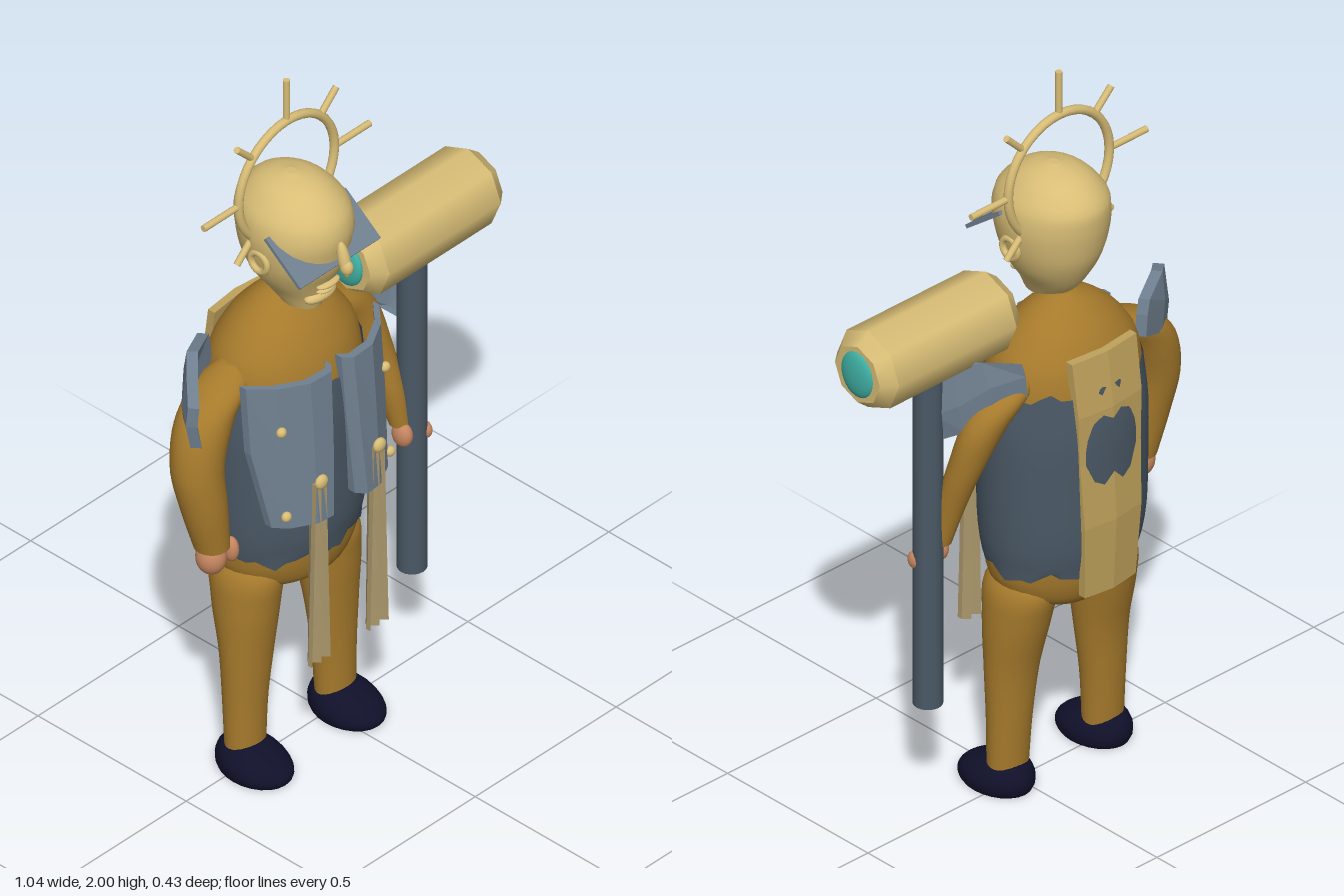
import * as THREE from 'three';

const C = -0.125; // centre line of the figure
const mirrorX = (x) => 2 * C - x;

function mat(name, color, side = THREE.FrontSide) {
  const m = new THREE.MeshStandardMaterial({ color, side });
  m.name = name;
  return m;
}

// Smooth body of elliptical rings, bottom to top: [y, x, z, rx, rz]
function loft(rows, { seg = 28, steps = 24, caps = true } = {}) {
  const centre = new THREE.CatmullRomCurve3(rows.map((r) => new THREE.Vector3(r[1], r[0], r[2])));
  const radii = new THREE.CatmullRomCurve3(rows.map((r) => new THREE.Vector3(r[3], r[4], r[0])));
  const pos = [], idx = [];
  const ring = (t) => {
    const p = centre.getPoint(t), q = radii.getPoint(t);
    for (let j = 0; j < seg; j++) {
      const a = (j / seg) * Math.PI * 2;
      pos.push(p.x + q.x * Math.cos(a), p.y, p.z + q.y * Math.sin(a));
    }
    return p;
  };
  for (let i = 0; i <= steps; i++) ring(i / steps);
  for (let i = 0; i < steps; i++) for (let j = 0; j < seg; j++) {
    const a = i * seg + j, b = i * seg + ((j + 1) % seg);
    idx.push(a, a + seg, b, b, a + seg, b + seg);
  }
  if (caps) for (const t of [0, 1]) {
    const start = pos.length / 3, p = ring(t), c = start + seg;
    pos.push(p.x, p.y, p.z);
    for (let j = 0; j < seg; j++) {
      const a = start + j, b = start + ((j + 1) % seg);
      if (t) idx.push(c, b, a); else idx.push(c, a, b);
    }
  }
  const g = new THREE.BufferGeometry();
  g.setAttribute('position', new THREE.Float32BufferAttribute(pos, 3));
  g.setIndex(idx);
  g.computeVertexNormals();
  return g;
}

// Bent faceted plate: grid[row][column] of outer points, thickened by the offset
function plate(grid, off) {
  const F = grid.map((r) => r.map((p) => new THREE.Vector3(...p)));
  const o = new THREE.Vector3(...off);
  const B = F.map((r) => r.map((p) => p.clone().add(o)));
  const n = F[1][0].clone().sub(F[0][0]).cross(F[0][1].clone().sub(F[0][0]));
  const flip = n.dot(o) > 0;
  const pos = [];
  const quad = (...q) => {
    if (flip) q.reverse();
    for (const k of [0, 1, 2, 0, 2, 3]) pos.push(q[k].x, q[k].y, q[k].z);
  };
  const R = F.length - 1, K = F[0].length - 1;
  for (let r = 0; r < R; r++) for (let c = 0; c < K; c++) {
    quad(F[r][c], F[r + 1][c], F[r + 1][c + 1], F[r][c + 1]);
    quad(B[r][c], B[r][c + 1], B[r + 1][c + 1], B[r + 1][c]);
  }
  for (let c = 0; c < K; c++) {
    quad(F[0][c], F[0][c + 1], B[0][c + 1], B[0][c]);
    quad(F[R][c + 1], F[R][c], B[R][c], B[R][c + 1]);
  }
  for (let r = 0; r < R; r++) {
    quad(F[r][0], B[r][0], B[r + 1][0], F[r + 1][0]);
    quad(F[r + 1][K], B[r + 1][K], B[r][K], F[r][K]);
  }
  const g = new THREE.BufferGeometry();
  g.setAttribute('position', new THREE.Float32BufferAttribute(pos, 3));
  g.computeVertexNormals();
  return g;
}

export function createModel() {
  const root = new THREE.Group();
  const brass = mat('brass', 0xd8bd76), brown = mat('brown cloth', 0xa67a2c);
  const slate = mat('slate plate', 0x708090), dark = mat('dark slate', 0x4a5865, THREE.DoubleSide);
  const tan = mat('tan panel', 0xc0a25c), strap = mat('strap cloth', 0xa8966a);
  const teal = mat('teal lens', 0x3fb0a4), skin = mat('skin', 0xc68660), black = mat('shoe navy', 0x10102a);

  const add = (name, geo, m, p = [0, 0, 0], r = [0, 0, 0], s = [1, 1, 1]) => {
    const mesh = new THREE.Mesh(geo, m);
    mesh.name = name;
    mesh.position.set(...p);
    mesh.rotation.set(...r);
    mesh.scale.set(...s);
    root.add(mesh);
    return mesh;
  };
  const ball = new THREE.SphereGeometry(1, 20, 14);
  const blob = (name, m, p, s, r) => add(name, ball, m, p, r, s);
  const body = (rows, z) => rows.map(([y, rx, rz]) => [y, C, z, rx, rz]);

  // Torso and vest
  add('torso', loft(body([[0.53, 0.12, 0.1], [0.565, 0.18, 0.14], [0.63, 0.21, 0.16], [0.8, 0.217, 0.172],
    [1.0, 0.22, 0.175], [1.15, 0.217, 0.17], [1.23, 0.2, 0.152], [1.3, 0.15, 0.115],
    [1.35, 0.09, 0.07], [1.38, 0.03, 0.03]], -0.03), { seg: 36, steps: 36 }), brown);
  const vest = loft(body([[0.65, 0.215, 0.168], [0.73, 0.226, 0.182], [0.9, 0.231, 0.186],
    [1.05, 0.23, 0.186], [1.17, 0.217, 0.174]], -0.03), { seg: 48, steps: 16, caps: false });
  const vp = vest.attributes.position;
  for (let i = 0; i < vp.count; i++) { // ragged hems
    const y = vp.getY(i), a = Math.atan2(vp.getZ(i) + 0.03, vp.getX(i) - C);
    const wave = Math.sin(a * 7) * 0.012 + Math.sin(a * 17) * 0.008;
    if (y > 1.15 || y < 0.66) vp.setY(i, y + wave);
  }
  vest.computeVertexNormals();
  add('vest', vest, dark);

  // Head and face
  add('head', loft([[1.36, C, 0.03, 0.045, 0.06], [1.4, C, 0.015, 0.066, 0.09], [1.45, C, 0.008, 0.1, 0.115],
    [1.5, C, 0.008, 0.122, 0.138], [1.55, C, 0.008, 0.134, 0.15], [1.6, C, 0.008, 0.138, 0.157],
    [1.65, C, 0.003, 0.128, 0.15], [1.7, C, 0, 0.088, 0.105], [1.72, C, 0, 0.055, 0.065],
    [1.732, C, 0, 0.012, 0.015]], { steps: 30 }), brass);
  blob('nose', brass, [C, 1.55, 0.176], [0.016, 0.05, 0.016], [-0.25, 0, 0]);
  blob('nose tip', brass, [C, 1.53, 0.185], [0.016, 0.022, 0.018]);
  blob('upper lip', brass, [C, 1.452, 0.122], [0.038, 0.009, 0.018]);
  blob('lower lip', brass, [C, 1.43, 0.112], [0.03, 0.008, 0.018]);
  blob('chin', brass, [C, 1.405, 0.095], [0.052, 0.018, 0.024]);
  add('visor', new THREE.BoxGeometry(0.285, 0.01, 0.15), slate, [C, 1.575, 0.103], [0.66, 0, 0]);
  for (const s of [-1, 1])
    add('ear', new THREE.TorusGeometry(0.027, 0.009, 8, 20), brass, [C + s * 0.132, 1.53, 0.015], [0, Math.PI / 2, 0]);

  // Halo with seven rays
  add('haloRing', new THREE.TorusGeometry(0.17, 0.012, 10, 40), brass, [C, 1.705, -0.018]);
  for (let i = -1; i <= 5; i++) {
    const a = (i * Math.PI) / 4, end = i % 2 ? 0.25 : 0.295, mid = (0.17 + end) / 2;
    add('haloRay', new THREE.CylinderGeometry(0.009, 0.009, end - 0.17, 10), brass,
      [C + Math.cos(a) * mid, 1.705 + Math.sin(a) * mid, -0.018], [0, 0, a - Math.PI / 2]);
  }

  // Arms and hands
  add('rightArm', loft([[0.755, -0.425, 0.015, 0.046, 0.046], [0.88, -0.443, 0.005, 0.061, 0.058],
    [1.0, -0.45, -0.01, 0.07, 0.066], [1.12, -0.412, -0.02, 0.078, 0.07], [1.19, -0.35, -0.025, 0.07, 0.065],
    [1.235, -0.3, -0.03, 0.03, 0.03]]), brown);
  blob('rightHand', skin, [-0.435, 0.728, 0.022], [0.038, 0.048, 0.04]);
  blob('rightThumb', skin, [-0.388, 0.738, 0.045], [0.018, 0.036, 0.022]);
  add('leftArm', loft([[0.775, 0.232, 0.025, 0.028, 0.028], [0.88, 0.218, 0.005, 0.038, 0.038],
    [1.0, 0.2, -0.03, 0.046, 0.045], [1.12, 0.16, -0.058, 0.064, 0.052], [1.19, 0.1, -0.065, 0.07, 0.055],
    [1.235, 0.05, -0.06, 0.03, 0.03]]), brown);
  blob('leftHand', skin, [0.225, 0.75, 0.04], [0.022, 0.036, 0.03]);
  blob('leftFingers', skin, [0.292, 0.735, 0.052], [0.016, 0.024, 0.022]);

  // Legs, shoes, and the mirrored armour
  const shoe = new THREE.SphereGeometry(1, 24, 16);
  const sp = shoe.attributes.position;
  for (let i = 0; i < sp.count; i++) { // flat sole, toe lower than heel
    const y = Math.max(sp.getY(i), -0.35), z = sp.getZ(i);
    sp.setXYZ(i, sp.getX(i) * 0.082, (y + 0.35) * 0.063 * (1 - 0.28 * z), z * 0.11);
  }
  shoe.computeVertexNormals();
  for (const side of ['right', 'left']) {
    const X = side === 'right' ? (x) => x : mirrorX;
    const grid = (rows) => rows.map((r) => r.map(([x, y, z]) => [X(x), y, z]));
    add(side + 'Leg', loft([[0.05, X(-0.285), -0.005, 0.057, 0.045], [0.2, X(-0.282), -0.008, 0.062, 0.052],
      [0.35, X(-0.275), -0.01, 0.074, 0.064], [0.5, X(-0.267), -0.02, 0.084, 0.09],
      [0.59, X(-0.258), -0.025, 0.08, 0.1], [0.65, X(-0.245), -0.025, 0.04, 0.06]]), brown);
    add(side + 'Shoe', shoe, black, [X(-0.289), 0, 0.03]);

    add(side + 'ChestPlate', plate(grid([
      [[-0.362, 1.225, 0.07], [-0.31, 1.225, 0.125], [-0.235, 1.225, 0.168], [-0.165, 1.225, 0.172], [-0.143, 1.225, 0.15]],
      [[-0.36, 1.03, 0.085], [-0.31, 1.03, 0.14], [-0.235, 1.03, 0.182], [-0.172, 1.03, 0.186], [-0.15, 1.03, 0.162]],
      [[-0.328, 0.81, 0.125], [-0.298, 0.81, 0.16], [-0.235, 0.81, 0.195], [-0.185, 0.81, 0.2], [-0.165, 0.81, 0.175]],
    ]), [0, 0, -0.022]), slate);
    for (const [y, z] of [[1.1, 0.14], [0.85, 0.157]])
      blob(side + 'Rivet', brass, [X(-0.309), y, z], [0.014, 0.014, 0.012]);

    add(side + 'ShoulderPlate', plate(grid([
      [[-0.34, 1.29, -0.115], [-0.43, 1.31, -0.065], [-0.478, 1.29, -0.02], [-0.51, 1.22, 0.015]],
      [[-0.33, 1.25, -0.118], [-0.42, 1.24, -0.085], [-0.48, 1.19, -0.035], [-0.512, 1.16, 0.01]],
      [[-0.325, 1.19, -0.118], [-0.41, 1.15, -0.085], [-0.465, 1.11, -0.04], [-0.495, 1.08, 0.012]],
    ]), [0.018, 0, 0.022]), slate);

    // Hanging pleated strap with a stud
    const cols = [-1, -0.5, 0, 0.5, 1];
    add(side + 'Strap', plate(grid([0.93, 0.75, 0.55, 0.38].map((y, i) => cols.map((c, k) =>
      [-0.228 + c * (0.018 + i * 0.005), y, 0.19 + (k % 2 ? -0.009 : 0.008)]))), [0, 0, -0.014]), strap);
    blob(side + 'Stud', brass, [X(-0.228), 0.935, 0.198], [0.02, 0.02, 0.012]);
  }

  // Ridged panel on the back, partly sunk in the vest
  add('backPanel', plate([[1.27, 0.108, -0.18], [1.12, 0.106, -0.201], [0.98, 0.102, -0.202], [0.8, 0.095, -0.212],
    [0.595, 0.085, -0.202]].map(([y, w, z]) =>
    [[C + w, y, z], [C, y, z - 0.012], [C - w, y, z]]), [0, 0, 0.022]), tan);

  // Shoulder cannon and its support pole
  const turn = [0, 0, -Math.PI / 2];
  const tube = (name, x0, x1, r0, r1, open) => add(name,
    new THREE.CylinderGeometry(r1, r0, x1 - x0, 8, 1, open), brass, [(x0 + x1) / 2, 1.375, 0.03], turn);
  tube('cannonBody', 0.075, 0.47, 0.11, 0.11, true);
  tube('cannonInnerEnd', 0.038, 0.075, 0.08, 0.11, false);
  tube('cannonOuterEnd', 0.47, 0.507, 0.11, 0.08, false);
  for (const x of [0.035, 0.505]) blob('lens', teal, [x, 1.375, 0.03], [0.018, 0.064, 0.056]);
  add('supportPole', new THREE.CylinderGeometry(0.038, 0.038, 0.96, 20), dark, [0.266, 0.8, 0.034]);
  return root;
}
